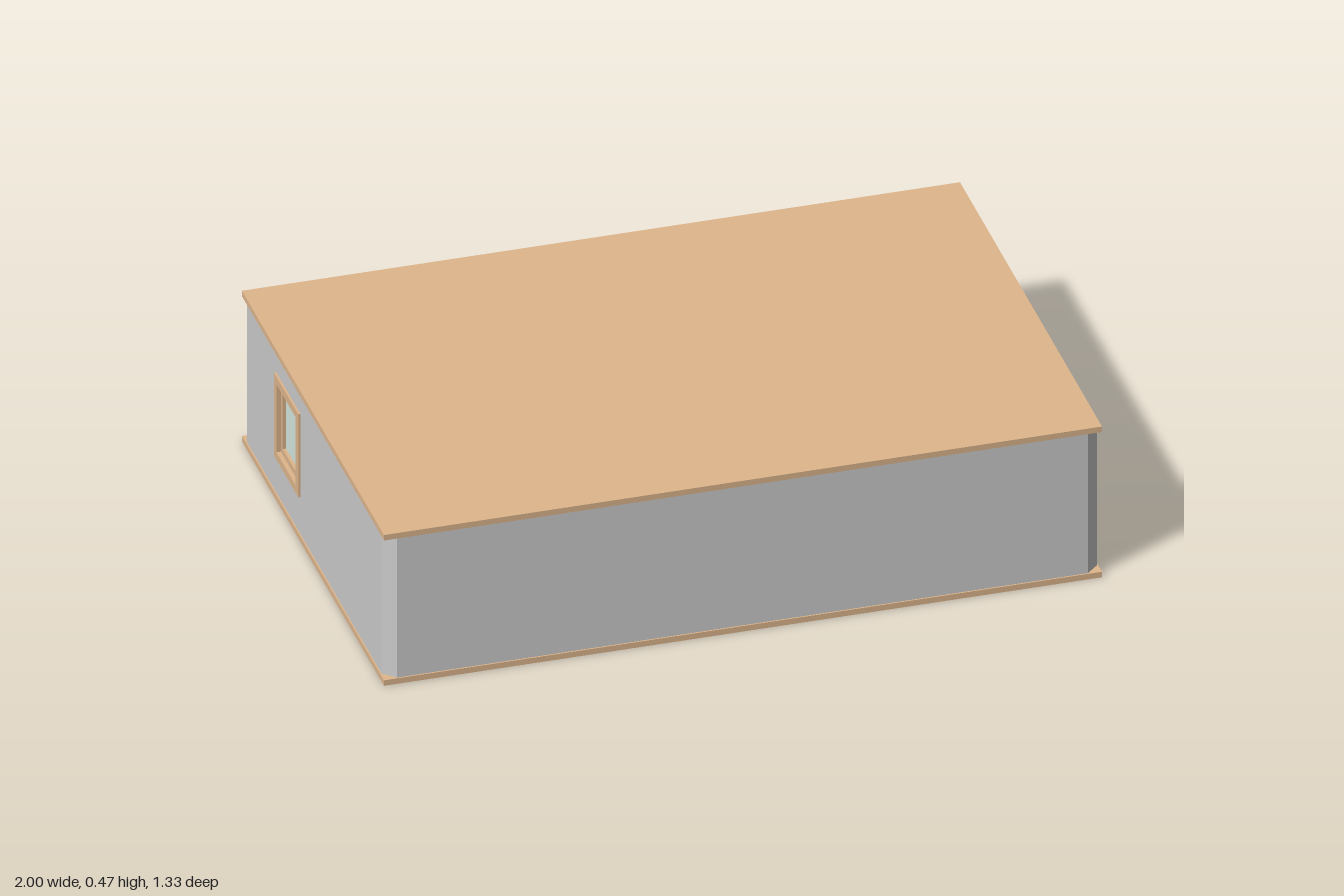
import * as THREE from 'three';

const GREY = new THREE.MeshStandardMaterial({ color: 0xcccccc });
const TAN = new THREE.MeshStandardMaterial({ color: 0xdeb68c });
const LINER = new THREE.MeshStandardMaterial({ color: 0x9fb2af });
const GLASS = new THREE.MeshStandardMaterial({ color: 0xd5e6df });

const SLAB = 0.017, TOP = 0.467;           // slab thickness, overall height
const Y0 = SLAB, Y1 = TOP - SLAB;          // wall bottom and top
const X = 0.994, Z = 0.662;                // outer wall faces
const XC = 0.96, ZC = 0.63;                // where the corner chamfers begin
const DOOR = [-0.388, Y0, -0.243, 0.347];  // z0, y0, z1, y1
const WINDOW = [-0.355, 0.135, -0.135, 0.385];

export function createModel() {
  const model = new THREE.Group();

  const add = (name, geometry, material, x = 0, y = 0, z = 0) => {
    const mesh = new THREE.Mesh(geometry, material);
    mesh.name = name;
    mesh.position.set(x, y, z);
    model.add(mesh);
    return mesh;
  };
  const box = (name, w, h, d, x, y, z, material) =>
    add(name, new THREE.BoxGeometry(w, h, d), material, x, y, z);

  const rectPoints = ([a, b, c, d]) =>
    [[a, b], [c, b], [c, d], [a, d]].map(([u, v]) => new THREE.Vector2(u, v));

  // Upright panel in the z-y plane, spanning x0 to x1, with an optional opening
  const panel = (name, outer, hole, x0, x1, material) => {
    const shape = new THREE.Shape(rectPoints(outer));
    if (hole) shape.holes.push(new THREE.Path(rectPoints(hole)));
    const geometry = new THREE.ExtrudeGeometry(shape, { depth: x1 - x0, bevelEnabled: false });
    geometry.rotateY(-Math.PI / 2);
    return add(name, geometry, material, x1);
  };
  const inset = ([a, b, c, d], t) => [a + t, b + t, c - t, d - t];

  // Floor and roof slabs
  box('floor', 1.996, SLAB, 1.332, 0, SLAB / 2, 0, TAN);
  box('roof', 1.996, SLAB, 1.332, 0, TOP - SLAB / 2, 0, TAN);

  // Long walls: grey outside, lined inside
  for (const s of [1, -1]) {
    const side = s > 0 ? 'front' : 'back';
    const h = Y1 - Y0, y = (Y0 + Y1) / 2;
    box(side + 'Wall', 2 * XC, h, 0.025, 0, y, s * (Z - 0.0125), GREY);
    box(side + 'WallLining', 2 * XC, h, Z - 0.025 - ZC, 0, y, s * (Z + ZC - 0.025) / 2, LINER);
  }

  // End walls: doorway on the left side, window on the right side
  const wall = [-ZC, Y0, ZC, Y1];
  // The doorway reaches the floor, so its opening is a notch made by three panels
  const [dz0, , dz1, dy1] = DOOR;
  const doorPieces = [
    [-ZC, Y0, dz0, Y1], [dz1, Y0, ZC, Y1], [dz0, dy1, dz1, Y1],
  ];
  for (const piece of doorPieces) {
    panel('leftWall', piece, null, 0.968, X, GREY);
    panel('leftWallLining', piece, null, XC, 0.968, LINER);
  }
  panel('rightWall', wall, WINDOW, -X, -0.968, GREY);
  panel('rightWallLining', wall, WINDOW, -0.968, -XC, LINER);

  // Chamfered corner posts
  for (const sx of [1, -1]) for (const sz of [1, -1]) {
    const plan = new THREE.Shape([[XC, ZC], [X, ZC], [XC, Z]]
      .map(([x, z]) => new THREE.Vector2(sx * x, -sz * z)));
    const post = new THREE.ExtrudeGeometry(plan, { depth: Y1 - Y0, bevelEnabled: false });
    post.rotateX(-Math.PI / 2);
    add('cornerPost', post, GREY, 0, Y0);
  }

  // Door frame: two jambs and a head
  const t = 0.008;
  panel('doorJamb', [dz0 - t, Y0, dz0 + 0.001, dy1], null, 0.955, 1, TAN);
  panel('doorJamb', [dz1 - 0.001, Y0, dz1 + t, dy1], null, 0.955, 1, TAN);
  panel('doorHead', [dz0 - t, dy1 - 0.001, dz1 + t, dy1 + t], null, 0.955, 1, TAN);

  // Window: outer frame, recessed sash and pane
  panel('windowFrame', inset(WINDOW, -0.004), inset(WINDOW, 0.02), -1, -0.953, TAN);
  panel('windowSash', inset(WINDOW, 0.02), inset(WINDOW, 0.038), -0.988, -0.965, TAN);
  panel('windowPane', inset(WINDOW, 0.036), null, -0.979, -0.974, GLASS);

  return model;
}
